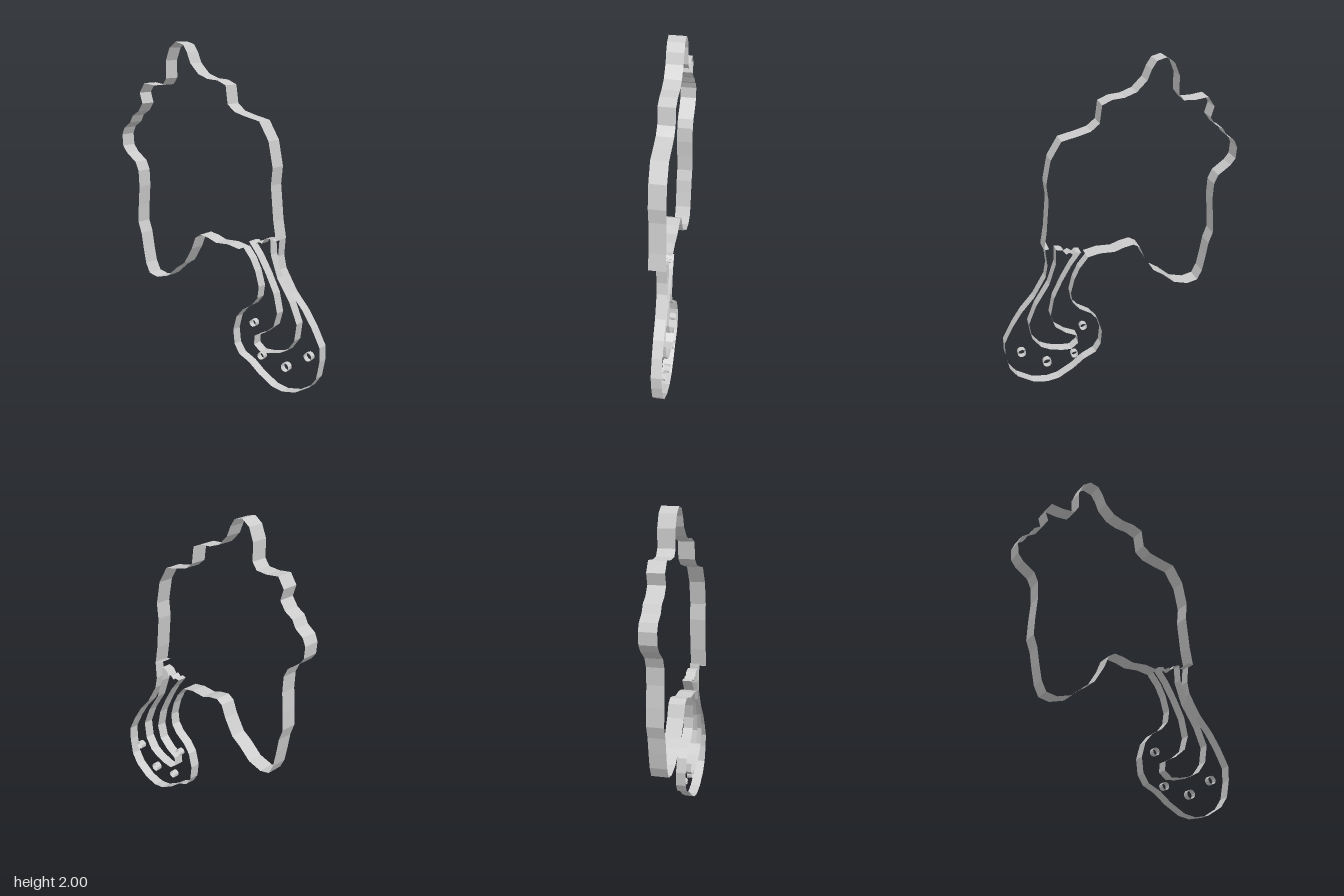
import * as THREE from 'three';

// Open band that follows a 2D path, running from zFront(y) back to zBack(y)
function ribbon(points, zFront, zBack) {
  const pos = [];
  for (let i = 0; i < points.length - 1; i++) {
    const [ax, ay] = points[i];
    const [bx, by] = points[i + 1];
    const af = [ax, ay, zFront(ay)], ab = [ax, ay, zBack(ay)];
    const bf = [bx, by, zFront(by)], bb = [bx, by, zBack(by)];
    pos.push(...af, ...ab, ...bb, ...af, ...bb, ...bf);
  }
  const geo = new THREE.BufferGeometry();
  geo.setAttribute('position', new THREE.Float32BufferAttribute(pos, 3));
  geo.computeVertexNormals();
  return geo;
}

export function createModel() {
  const group = new THREE.Group();
  const gray = new THREE.MeshStandardMaterial({ color: 0xcccccc, side: THREE.DoubleSide, flatShading: true });
  gray.name = 'light gray';
  const add = (name, geo) => {
    const mesh = new THREE.Mesh(geo, gray);
    mesh.name = name;
    group.add(mesh);
    return mesh;
  };

  // Large wavy outline, open at its lower right
  const body = [
    [0.43, 0.925], [0.46, 0.92], [0.44, 1.03], [0.42, 1.23], [0.43, 1.33], [0.4, 1.475],
    [0.335, 1.58], [0.24, 1.6], [0.165, 1.62], [0.115, 1.66], [0.1, 1.765], [0.04, 1.79],
    [-0.03, 1.795], [-0.1, 1.82], [-0.16, 1.88], [-0.185, 1.94], [-0.215, 1.985], [-0.27, 2.0],
    [-0.32, 1.965], [-0.35, 1.89], [-0.35, 1.785], [-0.38, 1.745], [-0.45, 1.74], [-0.53, 1.75],
    [-0.57, 1.69], [-0.55, 1.625], [-0.585, 1.575], [-0.635, 1.545], [-0.66, 1.5], [-0.71, 1.465],
    [-0.73, 1.42], [-0.725, 1.35], [-0.695, 1.31], [-0.62, 1.255], [-0.595, 1.2], [-0.59, 1.1],
    [-0.6, 0.98], [-0.605, 0.87], [-0.58, 0.8], [-0.565, 0.71], [-0.545, 0.61], [-0.515, 0.55],
    [-0.45, 0.535], [-0.36, 0.56], [-0.28, 0.63], [-0.22, 0.67], [-0.16, 0.77], [-0.13, 0.845],
    [-0.09, 0.87], [-0.03, 0.86], [0.03, 0.84], [0.12, 0.845], [0.2, 0.83]
  ];
  add('body outline', ribbon(body, () => 0.06, () => -0.04));

  // Slightly tilted, shallower bands of the hanging paddle
  const tailFront = y => 0.018 * y;
  const tailBack = y => -0.064 + 0.02 * y;
  const tail = (name, pts) => add(name, ribbon(pts, tailFront, tailBack));

  tail('paddle outline', [
    [0.455, 0.93], [0.445, 0.82], [0.46, 0.745], [0.535, 0.62], [0.615, 0.53], [0.675, 0.44],
    [0.73, 0.335], [0.73, 0.25], [0.71, 0.145], [0.665, 0.08], [0.57, 0.02], [0.48, 0.0],
    [0.405, 0.012], [0.31, 0.065], [0.24, 0.12], [0.165, 0.155], [0.13, 0.21], [0.12, 0.3],
    [0.145, 0.39], [0.19, 0.445], [0.26, 0.49], [0.3, 0.54], [0.31, 0.61], [0.285, 0.7],
    [0.25, 0.77], [0.2, 0.83]
  ]);

  tail('inner loop', [
    [0.39, 0.915], [0.395, 0.82], [0.44, 0.69], [0.525, 0.56], [0.575, 0.44], [0.56, 0.335],
    [0.51, 0.265], [0.455, 0.235], [0.38, 0.215], [0.32, 0.21], [0.275, 0.245], [0.28, 0.3],
    [0.35, 0.335], [0.415, 0.39], [0.44, 0.475], [0.415, 0.59], [0.36, 0.7], [0.3, 0.8], [0.24, 0.875]
  ]);

  // Ragged joint at the top of the inner loop
  tail('ragged joint', [
    [0.24, 0.875], [0.27, 0.88], [0.285, 0.865], [0.31, 0.885], [0.33, 0.875], [0.35, 0.905], [0.39, 0.915]
  ]);

  // Four small rings inside the paddle
  [[0.24, 0.36, 0.023], [0.3, 0.165, 0.023], [0.475, 0.14, 0.027], [0.63, 0.245, 0.026]].forEach(([x, y, r], i) => {
    const geo = new THREE.CylinderGeometry(r, r, 0.036, 10, 1, true).rotateX(Math.PI / 2);
    add('ring ' + (i + 1), geo).position.set(x, y, -0.046);
  });

  return group;
}
